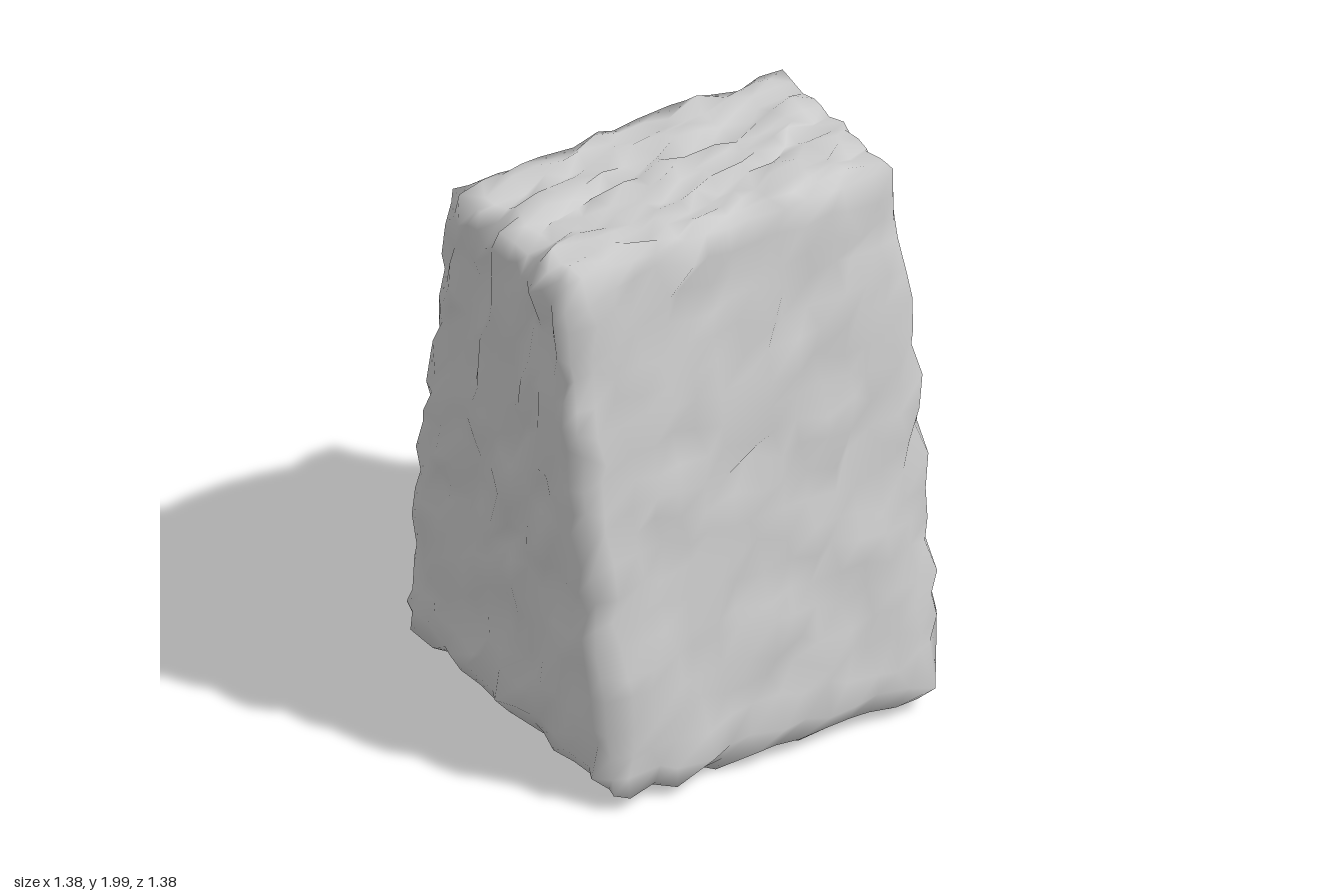
import * as THREE from 'three';
import { mergeVertices } from 'three/addons/utils/BufferGeometryUtils.js';

// Small seeded generator returning values in -1..1
function seededNoise(seed) {
  let s = seed;
  return () => {
    s = (s + 0x6d2b79f5) | 0;
    let t = Math.imul(s ^ (s >>> 15), 1 | s);
    t = (t + Math.imul(t ^ (t >>> 7), 61 | t)) ^ t;
    return ((t ^ (t >>> 14)) >>> 0) / 2147483648 - 1;
  };
}

// Rough-hewn block: subdivided box with softened edges, tapered in depth, then chipped
function roughBlock() {
  const half = new THREE.Vector3(0.668, 0.973, 0.668);
  const box = new THREE.BoxGeometry(half.x * 2, half.y * 2, half.z * 2, 14, 20, 14);
  box.deleteAttribute('uv');
  box.deleteAttribute('normal');
  const geo = mergeVertices(box, 1e-4);
  const pos = geo.attributes.position;
  const noise = seededNoise(17);
  const p = new THREE.Vector3();
  const inner = new THREE.Vector3();
  const out = new THREE.Vector3();

  for (let i = 0; i < pos.count; i++) {
    p.fromBufferAttribute(pos, i);
    // Softened edges, rounder at the foot
    const r = p.y < -0.5 ? 0.11 : 0.05;
    const core = half.clone().subScalar(r);
    inner.copy(p).clamp(core.clone().negate(), core);
    out.subVectors(p, inner).normalize();
    p.copy(inner).addScaledVector(out, r);

    // Depth narrows steadily from foot to top
    p.y += 1.003;
    p.z *= (0.69 - 0.17 * p.y) / half.z;

    // Chipped surface: mostly in and out, with sideways drift along each face
    p.addScaledVector(out, noise() * 0.024);
    p.x += noise() * 0.024 * (1 - Math.abs(out.x));
    p.y += noise() * 0.028 * (1 - Math.abs(out.y));
    p.z += noise() * 0.024 * (1 - Math.abs(out.z));
    pos.setXYZ(i, p.x, p.y, p.z);
  }
  geo.computeVertexNormals();
  return geo;
}

export function createModel() {
  const group = new THREE.Group();
  group.name = 'stone';
  const block = new THREE.Mesh(roughBlock(), new THREE.MeshStandardMaterial({ color: 0xcccccc }));
  block.name = 'roughStoneBlock';
  group.add(block);
  return group;
}
